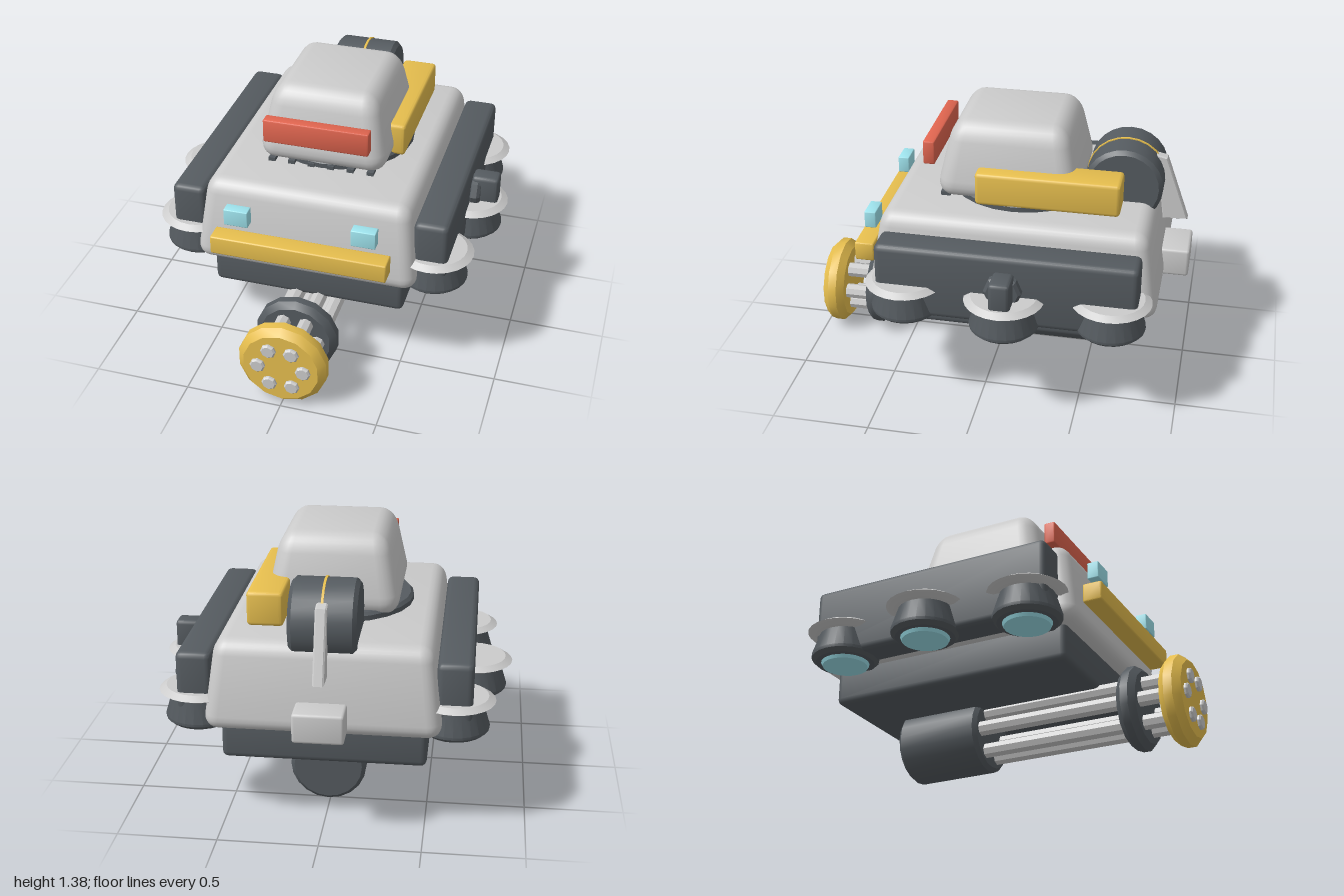
import * as THREE from 'three';
import { RoundedBoxGeometry } from 'three/addons/geometries/RoundedBoxGeometry.js';
import { toCreasedNormals } from 'three/addons/utils/BufferGeometryUtils.js';

const mat = (color) => new THREE.MeshStandardMaterial({ color });
const light = mat(0xcccccc), dark = mat(0x555b60), yellow = mat(0xe6be4e);
const red = mat(0xe0654f), cyan = mat(0x9fe4ee);

export function createModel() {
  const root = new THREE.Group();

  const add = (name, geo, material, x = 0, y = 0, z = 0, parent = root) => {
    const m = new THREE.Mesh(geo, material);
    m.name = name;
    m.position.set(x, y, z);
    parent.add(m);
    return m;
  };

  // Bevelled box given by its extents; top is the scale of the upper face
  const box = (name, material, [x0, x1], [y0, y1], [z0, z1], r = 0.02, top = 1, seg = 2) => {
    const h = y1 - y0;
    const g = new RoundedBoxGeometry(x1 - x0, h, z1 - z0, seg, r);
    const p = g.attributes.position;
    for (let i = 0; i < p.count; i++) {
      const s = 1 + (top - 1) * (p.getY(i) / h + 0.5);
      p.setX(i, p.getX(i) * s);
      p.setZ(i, p.getZ(i) * s);
    }
    return add(name, toCreasedNormals(g, 0.6), material, (x0 + x1) / 2, (y0 + y1) / 2, (z0 + z1) / 2);
  };

  // Creased lathe from [radius, height] points, listed bottom to top
  const lathe = (pts, sides) => toCreasedNormals(
    new THREE.LatheGeometry(pts.map(([r, y]) => new THREE.Vector2(r, y)), sides), 0.5);

  // Disc with bevelled rim, centred on its axis
  const disc = (r, h, bevel, sides) => lathe([
    [0, -h / 2], [r - bevel, -h / 2], [r, -h / 2 + bevel],
    [r, h / 2 - bevel], [r - bevel, h / 2], [0, h / 2]], sides);

  // Hull and base
  box('hull', light, [-0.585, 0.585], [0.53, 0.98], [-0.885, 0.605], 0.075, 0.9, 3);
  box('base', dark, [-0.505, 0.505], [0.35, 0.6], [-0.79, 0.52], 0.03);
  for (const s of [-1, 1]) {
    box('sidePod', dark, s > 0 ? [0.545, 0.72] : [-0.72, -0.545], [0.52, 0.9], [-0.795, 0.515], 0.03);
    box('headlight', cyan, s > 0 ? [0.265, 0.39] : [-0.39, -0.265], [0.81, 0.9], [0.595, 0.655], 0.005);
  }
  box('bumper', yellow, [-0.455, 0.455], [0.65, 0.75], [0.595, 0.695], 0.008);
  box('rearBox', light, [-0.125, 0.125], [0.55, 0.7], [-1, -0.8], 0.015);

  // Turret on its ring
  add('turretRing', disc(0.39, 0.07, 0.015, 24), dark, 0, 0.985, -0.12);
  box('turret', light, [-0.35, 0.35], [0.985, 1.388], [-0.455, 0.305], 0.1, 0.76, 3);
  box('visor', red, [-0.272, 0.272], [1.145, 1.27], [0.305, 0.365], 0.008);
  for (let i = 0; i < 6; i++) {
    add('ringTooth', new THREE.BoxGeometry(0.035, 0.03, 0.05), dark, -0.26 + i * 0.104, 0.985, 0.25);
  }
  box('turretSideBox', yellow, [0.21, 0.39], [1.0, 1.173], [-0.655, 0.075], 0.02);

  // Rear drum with strap and tail fin
  add('drum', disc(0.2, 0.33, 0.02, 24), dark, 0, 1.055, -0.645).rotation.z = Math.PI / 2;
  add('drumStrap', new THREE.CylinderGeometry(0.205, 0.205, 0.012, 24), yellow, 0, 1.055, -0.645)
    .rotation.z = Math.PI / 2;
  const fin = new THREE.Shape([[0.8, 1.18], [0.845, 1.17], [0.965, 0.84], [0.85, 0.835]]
    .map(([z, y]) => new THREE.Vector2(z, y)));
  const finGeo = new THREE.ExtrudeGeometry(fin, {
    depth: 0.04, bevelEnabled: true, bevelSize: 0.006, bevelThickness: 0.008, bevelSegments: 1 });
  finGeo.translate(0, 0, -0.02);
  add('tailFin', finGeo, light).rotation.y = Math.PI / 2;

  // Hover thrusters, three a side
  const body = lathe([[0, 0.505], [0.15, 0.505], [0.172, 0.525], [0.174, 0.54],
    [0.14, 0.65], [0.14, 0.67], [0, 0.67]], 24);
  const collar = lathe([[0, 0.652], [0.165, 0.652], [0.2, 0.67], [0.165, 0.692], [0, 0.692]], 24);
  const glow = new THREE.CylinderGeometry(0.13, 0.115, 0.03, 24);
  for (const s of [-1, 1]) {
    for (const [x, z] of [[0.63, 0.38], [0.71, -0.14], [0.63, -0.66]]) {
      const thruster = new THREE.Group();
      thruster.name = 'thruster';
      thruster.position.set(s * x, 0, z);
      root.add(thruster);
      add('thrusterBody', body, dark, 0, 0, 0, thruster);
      add('thrusterCollar', collar, light, 0, 0, 0, thruster);
      add('thrusterGlow', glow, cyan, 0, 0.503, 0, thruster);
    }
  }

  // Connector on the left flank
  add('connectorFlange', disc(0.095, 0.06, 0.015, 8), dark, 0.74, 0.73, -0.14).rotation.z = Math.PI / 2;
  box('connectorPlug', dark, [0.72, 0.86], [0.67, 0.83], [-0.195, -0.09], 0.02);

  // Rotary gun slung below
  const gun = new THREE.Group();
  gun.name = 'rotaryGun';
  gun.position.set(0, 0.236, 0);
  gun.rotation.x = Math.PI / 2;
  root.add(gun);
  add('gunMotor', disc(0.192, 0.465, 0.02, 20), dark, 0, -0.37, 0, gun);
  add('barrelClamp', disc(0.217, 0.1, 0.03, 14), dark, 0, 0.693, 0, gun);
  add('muzzleDisc', disc(0.232, 0.115, 0.035, 14), yellow, 0, 0.925, 0, gun);
  const barrel = disc(0.04, 1.16, 0.008, 8);
  for (let i = 0; i < 6; i++) {
    const a = i * Math.PI / 3;
    add('barrel', barrel, light, 0.118 * Math.cos(a), 0.42, 0.118 * Math.sin(a), gun);
  }

  return root;
}
